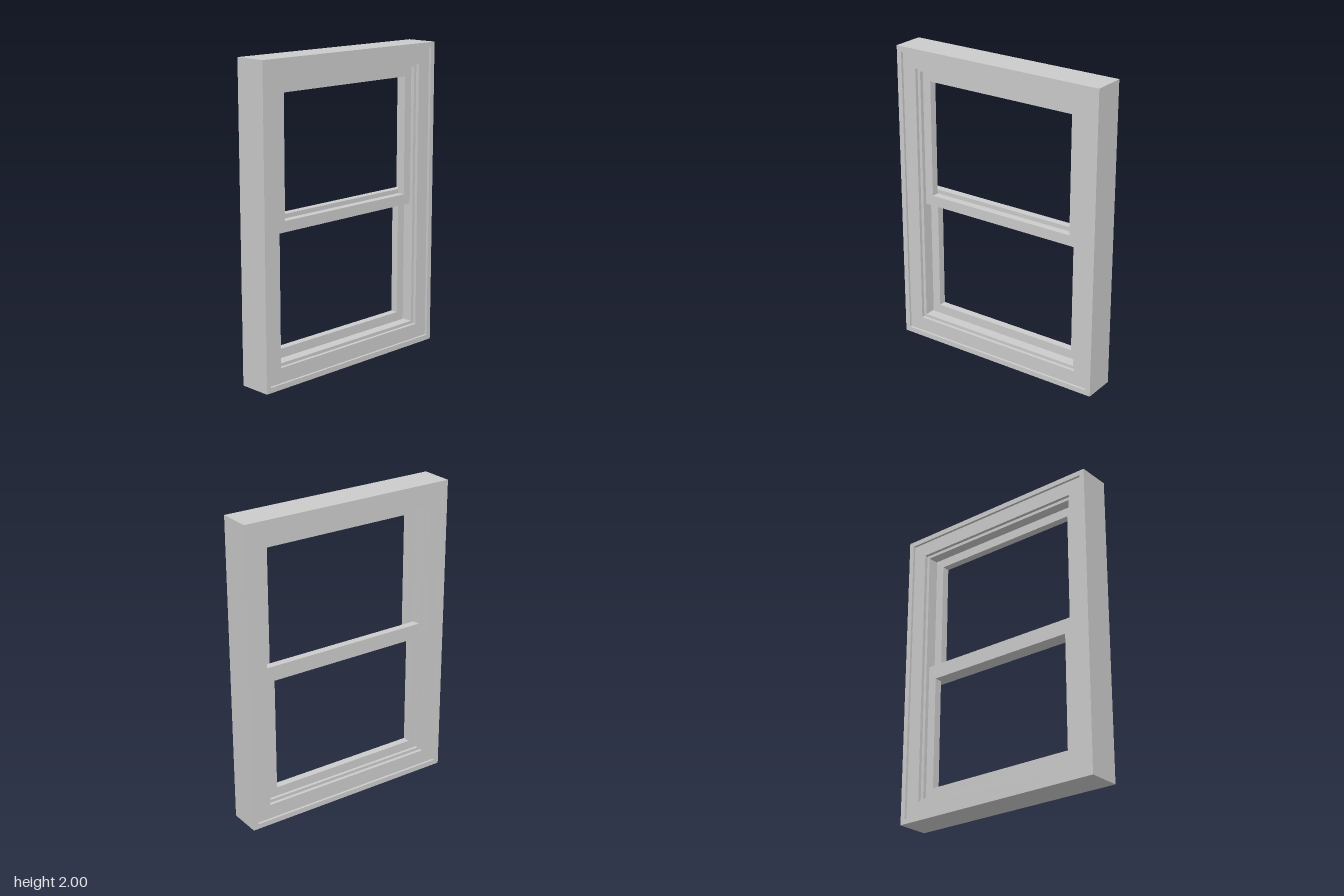
import * as THREE from 'three';

const HALF_W = 0.735, HEIGHT = 2;
const material = new THREE.MeshStandardMaterial({ color: 0xcccccc, flatShading: true });

function addMesh(parent, name, geometry) {
  const mesh = new THREE.Mesh(geometry, material);
  mesh.name = name;
  parent.add(mesh);
  return mesh;
}

// Sweeps a closed profile of [inset, x] points around the upright rectangle with mitred corners.
function mitredFrame(profile) {
  const corners = [[-1, -1], [1, -1], [1, 1], [-1, 1]];
  const point = ([inset, x], [sz, sy]) =>
    [x, HEIGHT / 2 + sy * (HEIGHT / 2 - inset), sz * (HALF_W - inset)];
  const positions = [];
  corners.forEach((corner, k) => {
    const next = corners[(k + 1) % 4];
    profile.forEach((a, i) => {
      const b = profile[(i + 1) % profile.length];
      const A = point(a, corner), B = point(b, corner), C = point(b, next), D = point(a, next);
      positions.push(...A, ...B, ...C, ...A, ...C, ...D);
    });
  });
  const geometry = new THREE.BufferGeometry();
  geometry.setAttribute('position', new THREE.Float32BufferAttribute(positions, 3));
  geometry.computeVertexNormals();
  return geometry;
}

function rectangle(target, halfW, y0, y1) {
  target.moveTo(-halfW, y0);
  target.lineTo(halfW, y0);
  target.lineTo(halfW, y1);
  target.lineTo(-halfW, y1);
  target.closePath();
  return target;
}

// Rectangular sash with an open light, lying between x0 and x1.
function sash({ bottom, top, openBottom, openTop, x0, x1 }) {
  const shape = rectangle(new THREE.Shape(), 0.58, bottom, top);
  shape.holes.push(rectangle(new THREE.Path(), 0.522, openBottom, openTop));
  const geometry = new THREE.ExtrudeGeometry(shape, { depth: x1 - x0, bevelEnabled: false });
  geometry.rotateY(Math.PI / 2);
  geometry.translate(x0, 0, 0);
  return geometry;
}

export function createModel() {
  const model = new THREE.Group();
  model.name = 'doubleHungWindow';

  // Outer frame: raised rim, recessed face, then a lower stop, on both sides
  const side = [[0, 0.108], [0.034, 0.108], [0.034, 0.092], [0.13, 0.092], [0.13, 0.07], [0.15, 0.07]];
  const mirrored = side.map(([inset, x]) => [inset, -x]).reverse();
  addMesh(model, 'frame', mitredFrame([...side, ...mirrored]));

  // Upper sash on the +x track, lower sash on the -x track, overlapping at the meeting rails
  addMesh(model, 'upperSash', sash({
    bottom: 0.953, top: 1.85, openBottom: 1.022, openTop: 1.79, x0: 0, x1: 0.05,
  }));
  addMesh(model, 'lowerSash', sash({
    bottom: 0.15, top: 1.05, openBottom: 0.21, openTop: 0.953, x0: -0.05, x1: 0,
  }));

  return model;
}
